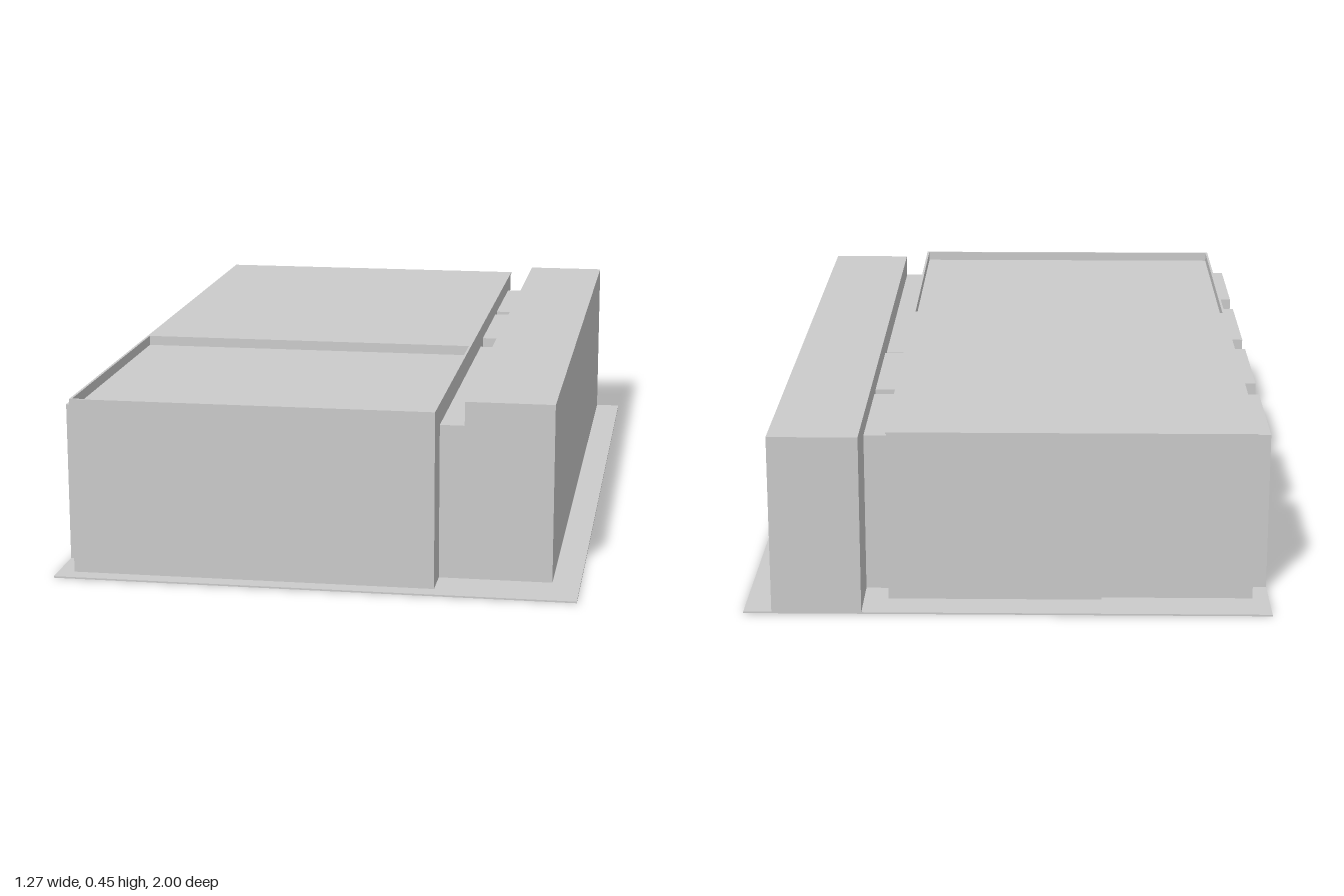
import * as THREE from 'three';

const material = new THREE.MeshStandardMaterial({ color: 0xcccccc, flatShading: true, side: THREE.DoubleSide });
const T = 0.006; // sheet thickness of walls

function add(group, name, geometry) {
  const mesh = new THREE.Mesh(geometry, material);
  mesh.name = name;
  group.add(mesh);
  return mesh;
}

// Box given by its limits on each axis
function box(group, name, [x0, x1], [y0, y1], [z0, z1]) {
  const g = new THREE.BoxGeometry(x1 - x0, y1 - y0, z1 - z0);
  g.translate((x0 + x1) / 2, (y0 + y1) / 2, (z0 + z1) / 2);
  return add(group, name, g);
}

// Long wall in the z-y plane with doorways cut out; outer limit at x1
function sideWall(group, name, x1, z0, z1, height, doors, doorTop) {
  const rect = (Kind, a, b, c, d) => {
    const p = new Kind();
    p.moveTo(a, c).lineTo(b, c).lineTo(b, d).lineTo(a, d).closePath();
    return p;
  };
  const shape = rect(THREE.Shape, z0, z1, 0, height);
  for (const [a, b] of doors) shape.holes.push(rect(THREE.Path, a + T, b - T, 0.002, doorTop));
  const g = new THREE.ExtrudeGeometry(shape, { depth: T, bevelEnabled: false });
  g.rotateY(-Math.PI / 2);
  g.translate(x1, 0, 0);
  add(group, name, g);
}

// Door surround: two jambs and a lintel
function portal(group, name, x, [z0, z1], top) {
  const frame = new THREE.Group();
  frame.name = name;
  box(frame, 'jambBack', x, [0, top], [z0, z0 + T]);
  box(frame, 'jambFront', x, [0, top], [z1 - T, z1]);
  box(frame, 'lintel', x, [top - T, top], [z0, z1]);
  group.add(frame);
}

export function createModel() {
  const model = new THREE.Group();
  model.name = 'warehouse';
  const X0 = -0.6, X1 = 0.29, H = 0.44, FRONT = 0.957;

  // Ground sheet, also the hall floor
  box(model, 'ground', [-0.64, 0.635], [0, 0.004], [-1, 1]);

  // Hall walls
  const hall = new THREE.Group();
  hall.name = 'hall';
  model.add(hall);
  const dockDoors = [[-0.82, -0.48], [-0.38, -0.04], [0.055, 0.4], [0.51, 0.85]];
  const linkDoors = [[-0.84, -0.49], [-0.45, -0.1]];
  sideWall(hall, 'dockWall', X0 + T, -0.89, FRONT, H, dockDoors, 0.394);
  sideWall(hall, 'linkWall', X1, -0.91, FRONT, H, linkDoors, 0.394);
  box(hall, 'frontWall', [X0, X1], [0, H], [FRONT - T, FRONT]);
  box(hall, 'backWallWide', [-0.23, X1], [0, H], [-0.91, -0.89]);
  box(hall, 'backWallNarrow', [X0, -0.23], [0, H], [-0.895, -0.889]);

  // Rear roof overhangs the back wall; front roof sits lower behind a parapet
  box(hall, 'rearRoof', [X0, X1], [H - 0.004, H], [-0.94, 0.2]);
  box(hall, 'roofStep', [X0, X1], [0.415, H], [0.2 - T, 0.2]);
  box(hall, 'frontRoof', [X0 + T, X1 - T], [0.411, 0.415], [0.2 - T, FRONT - T]);

  // Door surrounds on both long sides
  for (const d of dockDoors) portal(model, 'dockPortal', [-0.64, X0], d, 0.4);
  for (const d of linkDoors) portal(model, 'linkPortal', [X1, 0.35], d, 0.4);

  // Side block and the lower strip joining it to the hall
  box(model, 'sideBlock', [0.35, 0.567], [0.003, 0.446], [-1, 0.865]);
  box(model, 'joiningStrip', [X1, 0.35], [0.003, 0.387], [-0.045, 0.865]);

  return model;
}
